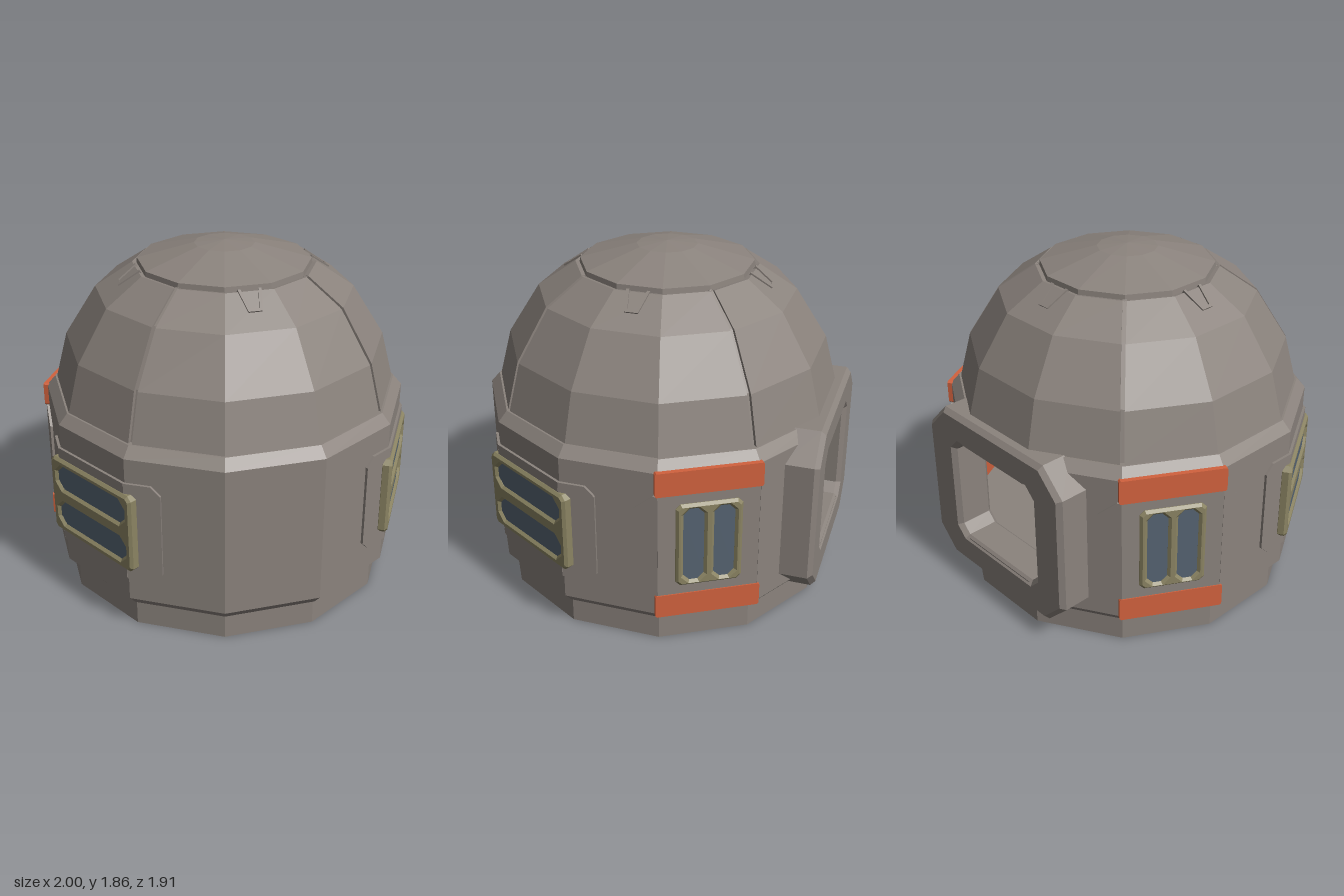
import * as THREE from 'three';

const SIDES = 12, STEP = Math.PI / 6;

function material(name, color) {
  const m = new THREE.MeshStandardMaterial({ color, side: THREE.DoubleSide });
  m.name = name;
  return m;
}

// Twelve-sided ring whose flats lie at the given distance from the axis
function ring(apothem, y) {
  const r = apothem / Math.cos(STEP / 2);
  return Array.from({ length: SIDES }, (_, k) => {
    const a = (k + 0.5) * STEP;
    return new THREE.Vector3(r * Math.sin(a), y, r * Math.cos(a));
  });
}

// Ring with a narrow recessed channel at each diagonal corner
function seamedRing(apothem, y) {
  const pts = ring(apothem, y), out = [];
  pts.forEach((p, k) => {
    if (k % 3 !== 1) return out.push(p);
    const before = pts[(k + SIDES - 1) % SIDES], after = pts[(k + 1) % SIDES];
    const inward = new THREE.Vector3(-p.x, 0, -p.z).setLength(0.02);
    const edge = q => p.clone().add(q.clone().sub(p).setLength(0.011));
    const l = edge(before), r = edge(after);
    out.push(l, l.clone().add(inward), r.clone().add(inward), r);
  });
  return out;
}

// Flat-shaded skin through a stack of cross-sections
function skin(sections, closed = true) {
  const pos = [];
  for (let s = 0; s < sections.length - 1; s++) {
    const a = sections[s], b = sections[s + 1], n = a.length;
    for (let i = 0; i < (closed ? n : n - 1); i++) {
      const j = (i + 1) % n;
      for (const p of [a[i], a[j], b[j], a[i], b[j], b[i]]) pos.push(p.x, p.y, p.z);
    }
  }
  const g = new THREE.BufferGeometry();
  g.setAttribute('position', new THREE.Float32BufferAttribute(pos, 3));
  g.computeVertexNormals();
  return g;
}

// Rectangle with cut corners
function cutRect(cx, cy, hw, hh, c, Type = THREE.Shape) {
  return new Type([
    [-hw + c, -hh], [hw - c, -hh], [hw, -hh + c], [hw, hh - c],
    [hw - c, hh], [-hw + c, hh], [-hw, hh - c], [-hw, -hh + c],
  ].map(([x, y]) => new THREE.Vector2(cx + x, cy + y)));
}

const polygon = pts => new THREE.Shape(pts.map(([x, y]) => new THREE.Vector2(x, y)));

// Extruded plate running from z = back to z = front, with an optional bevel
function plate(shape, back, front, bevel = 0) {
  const g = new THREE.ExtrudeGeometry(shape, {
    depth: front - back - 2 * bevel, bevelEnabled: bevel > 0, bevelSize: bevel,
    bevelThickness: bevel, bevelOffset: -bevel, bevelSegments: 1,
  });
  return g.translate(0, 0, back + bevel);
}

export function createModel() {
  const hull = material('hull grey', 0x8b837d);
  const trim = material('window frame olive', 0x8b8463);
  const glass = material('window glass blue', 0x566472);
  const orange = material('marking orange', 0xd2623e);
  const root = new THREE.Group();
  root.name = 'domeHabitat';

  const add = (parent, name, geometry, mat) => {
    const m = new THREE.Mesh(geometry, mat);
    m.name = name;
    parent.add(m);
    return m;
  };
  const facing = (name, angle) => {
    const g = new THREE.Group();
    g.name = name;
    g.rotation.y = angle;
    root.add(g);
    return g;
  };

  // Foot and lower wall
  add(root, 'lowerWall', skin([
    ring(0.893, 0), ring(0.893, 0.14), ring(0.905, 0.14), ring(0.951, 0.195), ring(0.951, 0.31),
  ]), hull);

  // Middle wall, open at the back for the doorway
  const middle = y => {
    const p = ring(0.951, y);
    return [new THREE.Vector3(-0.34, y, -0.902), ...p.slice(7), ...p.slice(0, 5),
      new THREE.Vector3(0.34, y, -0.902)];
  };
  add(root, 'middleWall', skin([middle(0.31), middle(0.91)], false), hull);

  // Upper wall and shoulder
  add(root, 'upperWall', skin([
    ring(0.951, 0.91), ring(0.951, 1.02), ring(0.905, 1.075), ring(0.85, 1.075),
  ]), hull);

  // Underside and inner floor
  const disc = r => new THREE.CircleGeometry(r, SIDES, STEP / 2);
  add(root, 'underside', disc(0.924).rotateX(Math.PI / 2), hull);
  add(root, 'floor', disc(0.975).rotateX(-Math.PI / 2).translate(0, 0.2, 0), hull);

  // Dome with four sunken seams
  add(root, 'dome', skin([
    seamedRing(0.895, 1.075), seamedRing(0.83, 1.33), seamedRing(0.665, 1.6), seamedRing(0.47, 1.735),
  ]), hull);

  // Shallow cap
  add(root, 'cap', skin([
    ring(0.47, 1.735), ring(0.448, 1.73), ring(0.445, 1.757), ring(0.155, 1.84), ring(0.0001, 1.855),
  ]), hull);

  // Small brackets around the cap
  const bracket = polygon([
    [-0.062, 0.01], [-0.035, -0.125], [0.035, -0.125], [0.062, 0.01],
    [0.046, 0.01], [0.023, -0.108], [-0.023, -0.108], [-0.046, 0.01],
  ]);
  for (let i = 0; i < 4; i++) {
    const m = add(facing('capBracket', i * Math.PI / 2), 'bracket', plate(bracket, -0.01, 0.008), hull);
    m.position.set(0, 1.735, 0.47);
    m.rotation.x = -0.965;
  }

  // Raised panel on one wall facet with wings folded onto its neighbours
  const wrapPanel = (angle, y0, y1, wing) => {
    add(facing('panelCentre', angle), 'panel',
      plate(cutRect(0, (y0 + y1) / 2, 0.258, (y1 - y0) / 2, 0), 0.94, 0.965), hull);
    for (const s of [-1, 1]) {
      const shape = polygon(wing.map(([d, y]) => [s * (d - 0.258), y]));
      add(facing('panelWing', angle + s * STEP), 'panel', plate(shape, 0.94, 0.965), hull);
    }
  };

  // Window frame with bevelled slots and sunken panes
  const windowUnit = (angle, hw, cy, hh, slots, front) => {
    const g = facing('window', angle);
    const frame = cutRect(0, cy, hw, hh, 0.025);
    for (const [x, y, w, h] of slots) {
      const cut = Math.min(w, h) * 0.6;
      frame.holes.push(cutRect(x, y, w, h, cut, THREE.Path));
      const pane = new THREE.ShapeGeometry(cutRect(x, y, w + 0.004, h + 0.004, cut));
      add(g, 'pane', pane.translate(0, 0, 0.9675), glass);
    }
    add(g, 'windowFrame', plate(frame, 0.92, front, 0.014), trim);
  };

  for (const side of [-1, 1]) {
    // Wide front windows
    const front = side * 2 * STEP;
    wrapPanel(front, 0.33, 0.89,
      [[0, 0.33], [0.14, 0.33], [0.19, 0.38], [0.19, 0.84], [0.14, 0.89], [0, 0.89]]);
    windowUnit(front, 0.317, 0.612, 0.222,
      [[0, 0.722, 0.268, 0.068], [0, 0.505, 0.268, 0.068]], 0.982);

    // Tall rear windows with orange markings above and below
    const rear = side * 4 * STEP;
    wrapPanel(rear, 0.32, 0.9,
      [[0, 0.32], [0.025, 0.32], [0.125, 0.405], [0.125, 0.815], [0.025, 0.9], [0, 0.9]]);
    windowUnit(rear, 0.17, 0.61, 0.238,
      [[-0.078, 0.61, 0.053, 0.208], [0.078, 0.61, 0.053, 0.208]], 0.982);
    const marks = facing('markings', rear);
    for (const y of [0.2525, 0.965])
      add(marks, 'orangeMarking', plate(cutRect(0, y, 0.272, 0.0655, 0.008), 0.93, 0.968), orange);
  }

  // Doorway surround at the back
  const surround = cutRect(0, 0.61, 0.54, 0.47, 0.14);
  surround.holes.push(cutRect(0, 0.61, 0.325, 0.29, 0.05, THREE.Path));
  add(facing('doorway', Math.PI), 'doorFrame', plate(surround, 0.74, 0.96, 0.025), hull);

  return root;
}
